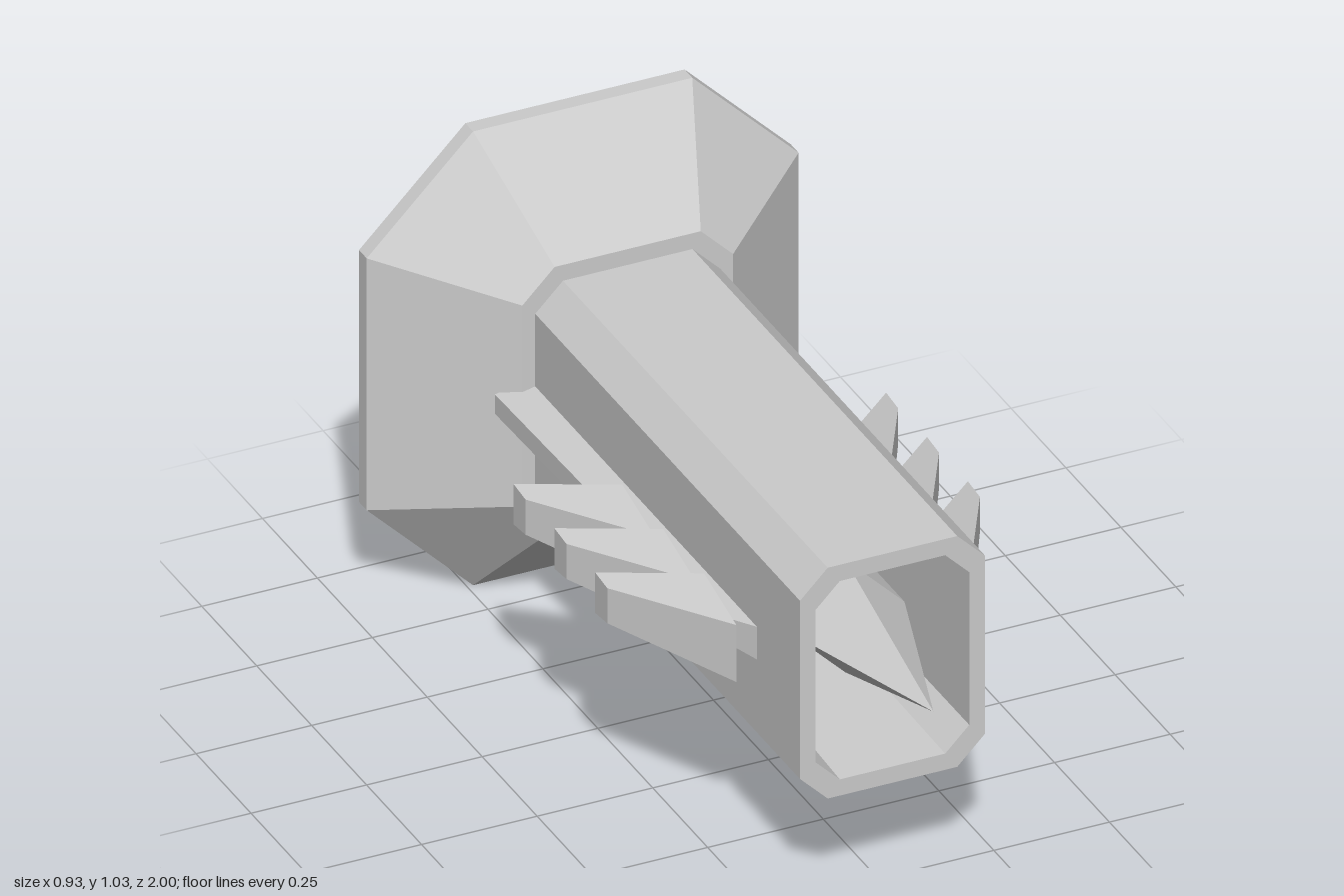
import * as THREE from 'three';

const CENTRE_Y = 0.52;
const material = new THREE.MeshStandardMaterial({ color: 0xcccccc, flatShading: true });

// Chamfered rectangle at depth z: half width w, half height h, corner cut (cx, cy)
function octagon(z, w, h, cx, cy = cx) {
  return [
    [w, h - cy], [w - cx, h], [cx - w, h], [-w, h - cy],
    [-w, cy - h], [cx - w, -h], [w - cx, -h], [w, cy - h],
  ].map(([x, y]) => [x, y, z]);
}

function diamond(z, r) {
  return [[r, 0, z], [0, r, z], [-r, 0, z], [0, -r, z]];
}

// Closed solid skinned over matching rings, capped at both ends
function loft(name, rings) {
  const pos = [];
  const tri = (a, b, c) => pos.push(...a, ...b, ...c);
  const n = rings[0].length;
  for (let r = 0; r < rings.length - 1; r++) {
    const a = rings[r], b = rings[r + 1];
    for (let i = 0; i < n; i++) {
      const j = (i + 1) % n;
      tri(a[i], a[j], b[j]);
      tri(a[i], b[j], b[i]);
    }
  }
  const first = rings[0], last = rings[rings.length - 1];
  for (let i = 1; i < n - 1; i++) {
    tri(first[0], first[i + 1], first[i]);
    tri(last[0], last[i], last[i + 1]);
  }
  const geometry = new THREE.BufferGeometry();
  geometry.setAttribute('position', new THREE.Float32BufferAttribute(pos, 3));
  geometry.computeVertexNormals();
  const mesh = new THREE.Mesh(geometry, material);
  mesh.name = name;
  return mesh;
}

// Quad section at x: front edge (z, half height), back edge (z, half height)
function section(x, zFront, hFront, zBack, hBack, xBack = x) {
  return [[x, hFront, zFront], [xBack, -hBack, zBack], [xBack, hBack, zBack], [x, -hFront, zFront]]
    .sort((p, q) => Math.atan2(p[2] - (zFront + zBack) / 2, p[1]) - Math.atan2(q[2] - (zFront + zBack) / 2, q[1]));
}

export function createModel() {
  const model = new THREE.Group();
  model.name = 'barbedSocket';
  const assembly = new THREE.Group();
  assembly.name = 'assembly';
  assembly.position.y = CENTRE_Y;
  model.add(assembly);

  // Long hollow body with a slightly tapering bore
  assembly.add(loft('body', [
    octagon(-0.89, 0.2, 0.263, 0.06),
    octagon(0.815, 0.2, 0.263, 0.06),
    octagon(0.815, 0.166, 0.226, 0.052),
    octagon(0.0, 0.147, 0.196, 0.045),
  ]));

  // Bevelled collar
  assembly.add(loft('collar', [
    octagon(-0.63, 0.467, 0.517, 0.23),
    octagon(-0.595, 0.467, 0.517, 0.23),
    octagon(-0.39, 0.228, 0.299, 0.07),
  ]));

  // Square rod on its corner: back peg, running through to the pointed tip
  assembly.add(loft('rodAndSpike', [
    diamond(-1, 0.128), diamond(0.6, 0.128), diamond(1, 0.0005),
  ]));

  // Rail with three swept barbs on each side
  for (const side of ['left', 'right']) {
    const group = new THREE.Group();
    group.name = side + 'Barbs';
    if (side === 'right') group.rotation.z = Math.PI;
    group.add(loft(side + 'Rail', [
      section(0.19, 0.64, 0.04, -0.42, 0.04),
      section(0.255, 0.5, 0.022, -0.42, 0.022, 0.273),
    ]));
    for (let i = 0; i < 3; i++) {
      const barb = loft(side + 'Barb' + (i + 1), [
        section(0.253, 0.637, 0.065, 0.49, 0.103),
        section(0.403, 0.365, 0.04, 0.31, 0.046),
      ]);
      barb.position.z = -0.186 * i;
      group.add(barb);
    }
    assembly.add(group);
  }
  return model;
}
